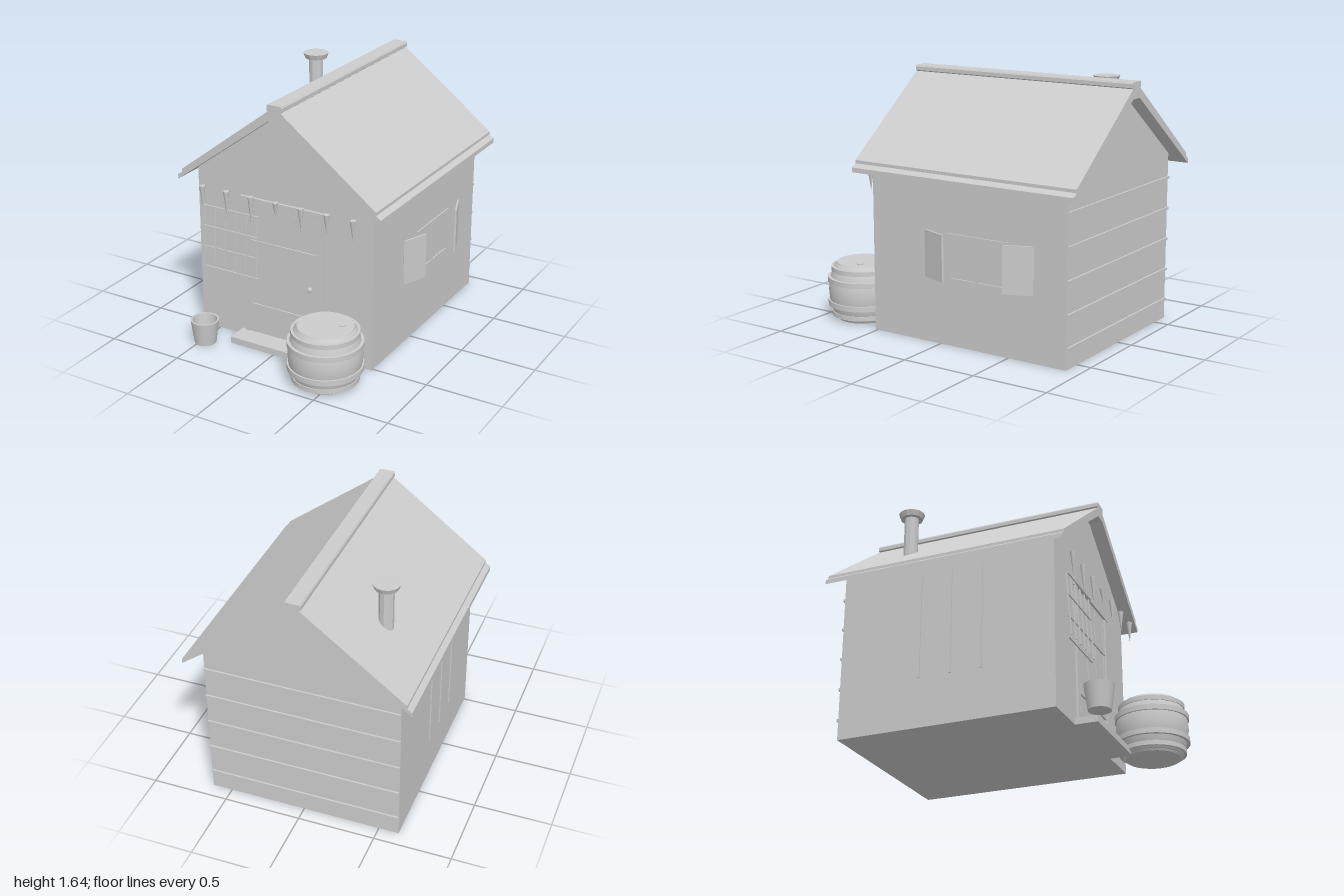
import * as THREE from 'three';

export function createModel() {
  const model = new THREE.Group();
  const clay = new THREE.MeshStandardMaterial({ color: 0xcccccc });
  clay.name = 'light grey';
  const clayFlat = clay.clone();
  clayFlat.flatShading = true;
  const clayOpen = clay.clone();
  clayOpen.side = THREE.DoubleSide;

  const add = (name, geometry, x = 0, y = 0, z = 0, parent = model, material = clay) => {
    const mesh = new THREE.Mesh(geometry, material);
    mesh.name = name;
    mesh.position.set(x, y, z);
    parent.add(mesh);
    return mesh;
  };
  const group = (name, x = 0, y = 0, z = 0) => {
    const g = new THREE.Group();
    g.name = name;
    g.position.set(x, y, z);
    model.add(g);
    return g;
  };
  // Box given by its extents on each axis
  const slab = (name, [x0, x1], [y0, y1], [z0, z1], parent = model) =>
    add(name, new THREE.BoxGeometry(x1 - x0, y1 - y0, z1 - z0),
      (x0 + x1) / 2, (y0 + y1) / 2, (z0 + z1) / 2, parent);
  // Right half of an outline, mirrored and extruded along z
  const gable = (name, half, z0, z1) => {
    const mirrored = half.map(([x, y]) => [-x, y]).reverse();
    const shape = new THREE.Shape([...half, ...mirrored].map(p => new THREE.Vector2(...p)));
    add(name, new THREE.ExtrudeGeometry(shape, { depth: z1 - z0, bevelEnabled: false }), 0, 0, z0);
  };
  const lathe = (points, sides) =>
    new THREE.LatheGeometry(points.map(p => new THREE.Vector2(...p)), sides);

  // House body, roof with stepped eaves, ridge cap
  gable('walls', [[0.63, 0], [0.63, 1.105], [0.04, 1.545]], -0.905, 0.517);
  gable('roof', [[0.04, 1.54], [0.724, 1.035], [0.724, 1.065], [0.692, 1.088], [0.692, 1.108], [0.04, 1.605]],
    -1, 0.605);
  gable('ridgeCap', [[0.035, 1.595], [0.053, 1.608], [0.053, 1.632], [0.046, 1.643]], -1, 0.605);

  // Faceted chimney
  const chimney = group('chimney', -0.41, 0, -0.565);
  add('chimneyPipe', new THREE.CylinderGeometry(0.047, 0.047, 0.36, 10), 0, 1.4, 0, chimney, clayFlat);
  add('chimneyCap', new THREE.CylinderGeometry(0.086, 0.073, 0.035, 12), 0, 1.59, 0, chimney, clayFlat);

  // Door with frame, plank strips, cross bands and knob
  const door = group('door');
  slab('doorPanel', [-0.255, 0.255], [0.04, 0.935], [0.51, 0.521], door);
  slab('lintel', [-0.306, 0.306], [0.935, 0.983], [0.51, 0.535], door);
  for (const s of [-1, 1]) {
    const xs = [s * 0.255, s * 0.29].sort((a, b) => a - b);
    slab('doorPost', xs, [0, 0.935], [0.51, 0.531], door);
  }
  for (const x of [-0.23, -0.076, 0.076, 0.23])
    slab('plankStrip', [x - 0.006, x + 0.006], [0.04, 0.915], [0.515, 0.525], door);
  for (const y of [0.237, 0.682])
    slab('doorBand', [-0.24, 0.24], [y - 0.013, y + 0.013], [0.515, 0.53], door);
  add('doorKnob', new THREE.SphereGeometry(0.017, 14, 10), 0.195, 0.452, 0.532, door);
  slab('doorStep', [-0.32, 0.32], [0, 0.043], [0.5, 0.66]);

  // Tilted lattice in front of the wall
  const lattice = group('lattice');
  for (let i = 0; i < 6; i++) {
    const bar = add('latticeUpright', new THREE.BoxGeometry(0.008, 0.412, 0.008),
      -0.55 + i * 0.0785, 0.68, 0.577, lattice);
    bar.rotation.x = -0.066;
  }
  for (let i = 0; i < 4; i++)
    add('latticeCrossbar', new THREE.BoxGeometry(0.404, 0.008, 0.008), -0.355, 0.458 + i * 0.1417, 0.577, lattice);

  // Row of icicles below the front eave
  const tips = [0.865, 0.84, 0.84, 0.925, 0.865, 0.89, 0.885];
  tips.forEach((tip, i) => {
    const h = 1.025 - tip;
    const icicle = add('icicle', new THREE.ConeGeometry(0.02, h, 8), -0.54 + i * 0.18, 1.025 - h / 2, 0.606);
    icicle.rotation.x = Math.PI;
  });

  // Side window with frame and two angled shutters
  const win = group('sideWindow');
  const wx = [0.62, 0.638];
  for (const y of [0.427, 0.707]) slab('windowRail', wx, [y - 0.01, y + 0.01], [-0.505, -0.06], win);
  for (const z of [-0.07, -0.275, -0.495]) slab('windowMullion', wx, [0.417, 0.717], [z - 0.011, z + 0.011], win);
  for (const s of [-1, 1]) {
    const shutter = add('shutter', new THREE.BoxGeometry(0.012, 0.3, 0.19), 0.66, 0.567, -0.2825 + s * 0.307, win);
    shutter.rotation.y = -s * 0.36;
  }

  // Rails across the back wall and rods along the left-hand wall
  for (let i = 0; i < 5; i++) {
    const y = 0.13 + i * 0.204;
    slab('backRail', [-0.63, 0.63], [y - 0.008, y + 0.008], [-0.917, -0.9]);
  }
  for (const z of [-0.36, -0.155, 0.05])
    slab('sideRod', [-0.649, -0.641], [0.315, 1.01], [z - 0.005, z + 0.005]);

  // Barrel with staves, hoops, lid and bung
  const barrel = group('barrel', 0.443, 0, 0.761);
  add('barrelStaves', lathe([[0.183, 0.012], [0.2, 0.03], [0.213, 0.08], [0.226, 0.13], [0.231, 0.19],
    [0.226, 0.25], [0.213, 0.3], [0.2, 0.35], [0.183, 0.37]], 28), 0, 0, 0, barrel);
  add('barrelLid', new THREE.CylinderGeometry(0.174, 0.185, 0.02, 28), 0, 0.37, 0, barrel);
  add('barrelBase', new THREE.CylinderGeometry(0.185, 0.174, 0.02, 28), 0, 0.01, 0, barrel);
  for (const [y, h, r] of [[0.04, 0.03, 0.212], [0.112, 0.034, 0.236], [0.268, 0.034, 0.236], [0.34, 0.03, 0.212]])
    add('barrelHoop', new THREE.CylinderGeometry(r, r, h, 32), 0, y, 0, barrel);
  add('barrelBung', new THREE.CylinderGeometry(0.02, 0.02, 0.01, 12), 0.09, 0.381, -0.045, barrel);

  // Hollow bucket
  const bucket = group('bucket', -0.473, 0, 0.725);
  add('bucketWall', lathe([[0.07, 0], [0.092, 0.16]], 20), 0, 0, 0, bucket, clayOpen);
  add('bucketRim', lathe([[0.092, 0.16], [0.08, 0.16]], 20), 0, 0, 0, bucket, clayOpen);
  add('bucketLining', lathe([[0.08, 0.16], [0.064, 0.02]], 20), 0, 0, 0, bucket, clayOpen);
  add('bucketBottom', new THREE.CylinderGeometry(0.071, 0.07, 0.02, 20), 0, 0.01, 0, bucket);

  return model;
}
